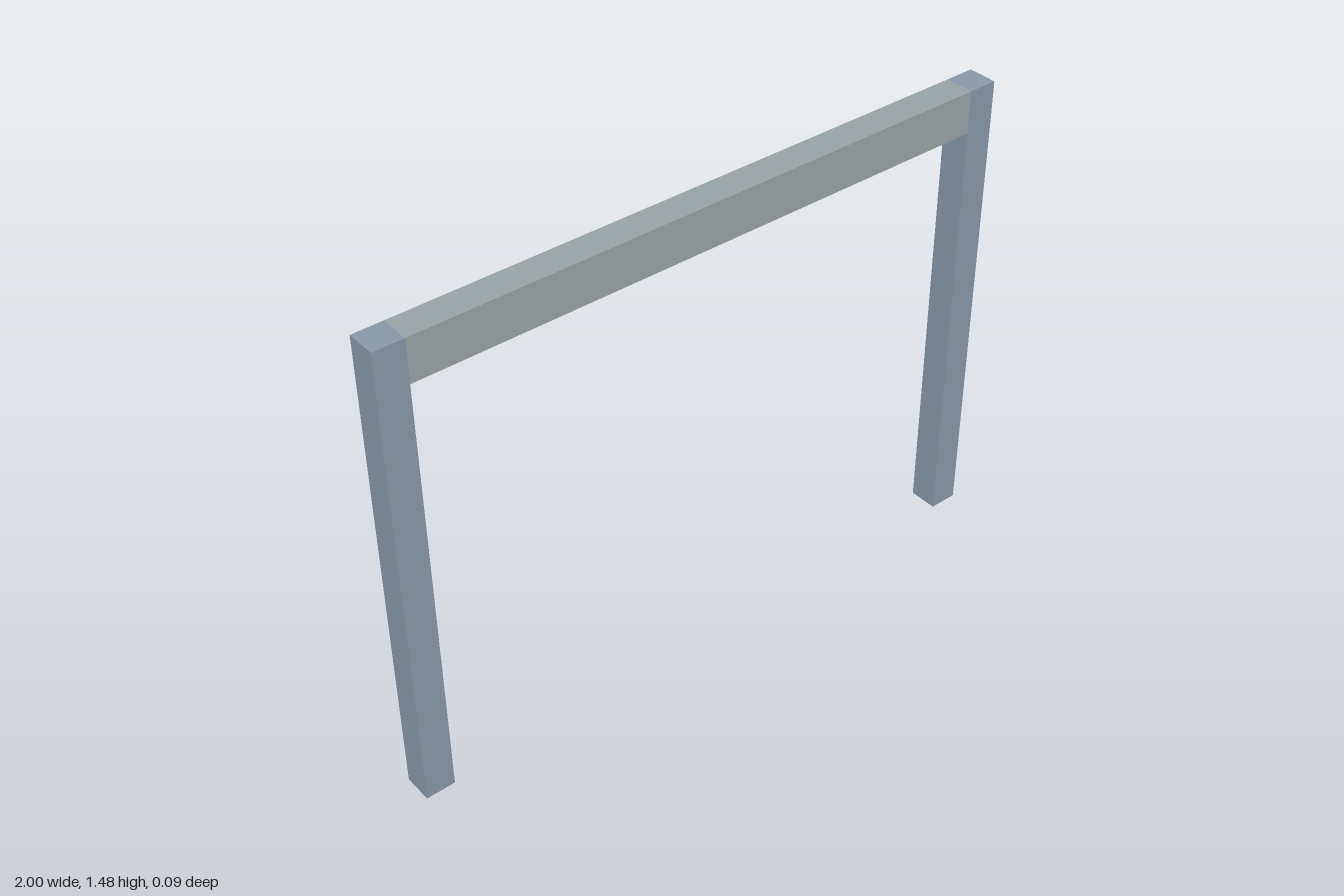
import * as THREE from 'three';

const HEIGHT = 1.475;
const POST = 0.09;        // square post section
const BEAM_HEIGHT = 0.13;

export function createModel() {
  const group = new THREE.Group();
  group.name = 'postAndBeamFrame';

  const postMaterial = new THREE.MeshStandardMaterial({ color: 0x8798a8 });
  const beamMaterial = new THREE.MeshStandardMaterial({ color: 0x98a2a5 });

  const addBox = (name, width, height, x, y, material) => {
    const mesh = new THREE.Mesh(new THREE.BoxGeometry(width, height, POST), material);
    mesh.name = name;
    mesh.position.set(x, y, 0);
    group.add(mesh);
  };

  // Full-height posts at both ends
  for (const [name, side] of [['leftPost', 1], ['rightPost', -1]]) {
    addBox(name, POST, HEIGHT, side * (1 - POST / 2), HEIGHT / 2, postMaterial);
  }

  // Top beam fitted between the posts, flush with their tops
  addBox('topBeam', 2 - 2 * POST, BEAM_HEIGHT, 0, HEIGHT - BEAM_HEIGHT / 2, beamMaterial);

  return group;
}
